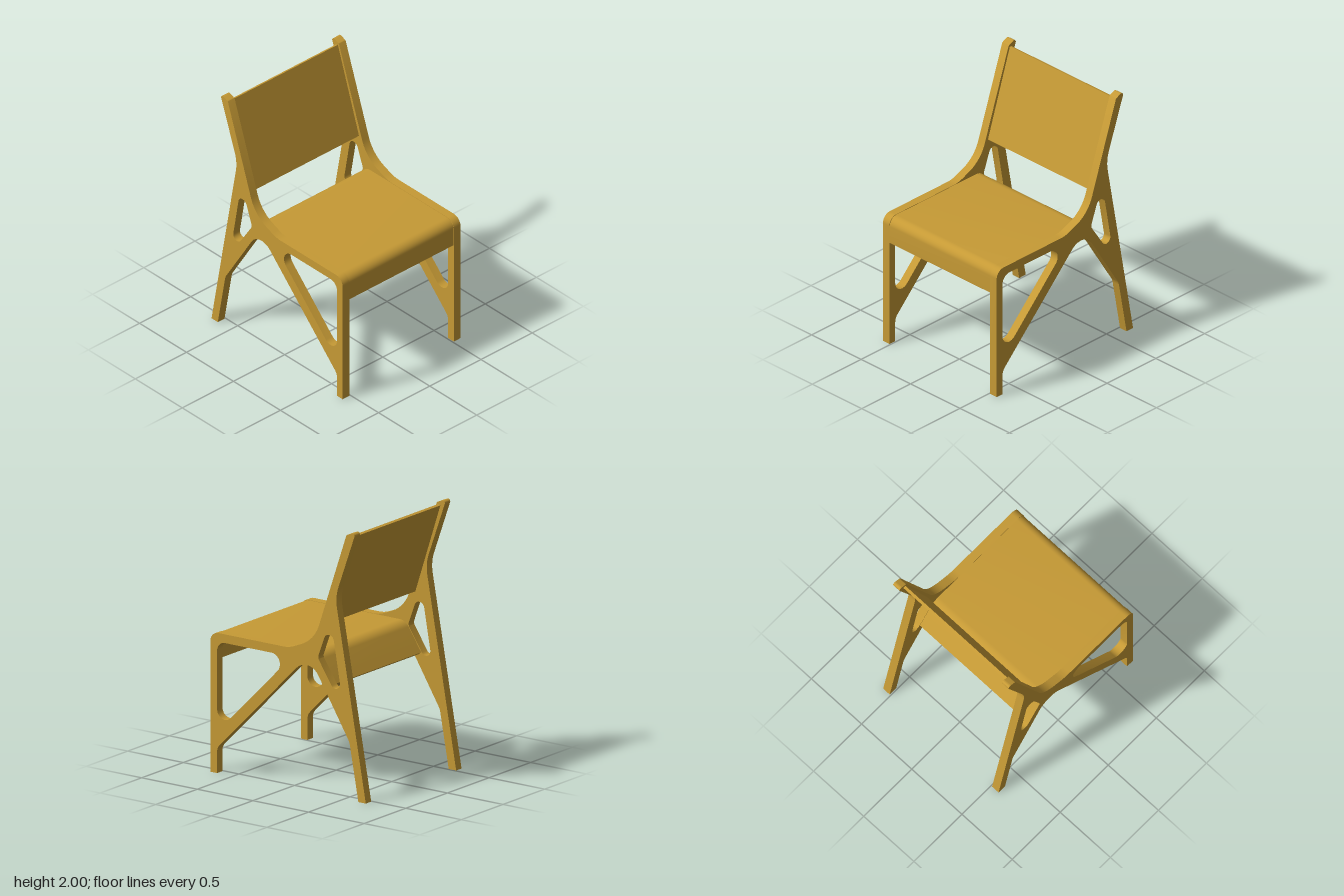
import * as THREE from 'three';
import { toCreasedNormals } from 'three/addons/utils/BufferGeometryUtils.js';

const HALF_WIDTH = 0.575;   // outer face of a side frame
const INNER = 0.51;         // inner face of a side frame

// Polygon of [z, y, radius] corners, each rounded by a true arc
function rounded(corners, steps = 10) {
  const points = [];
  corners.forEach(([x, y, r = 0], i) => {
    const p = new THREE.Vector2(x, y);
    if (!r) { points.push(p); return; }
    const n = corners.length;
    const toward = (c) => new THREE.Vector2(c[0], c[1]).sub(p).normalize();
    const u = toward(corners[(i + n - 1) % n]);
    const v = toward(corners[(i + 1) % n]);
    const half = Math.acos(u.dot(v)) / 2;
    const t = r / Math.tan(half);
    const centre = u.clone().add(v).normalize().multiplyScalar(r / Math.sin(half)).add(p);
    const start = u.clone().multiplyScalar(t).add(p).sub(centre);
    const end = v.clone().multiplyScalar(t).add(p).sub(centre);
    const sweep = Math.atan2(start.cross(end), start.dot(end));
    for (let k = 0; k <= steps; k++) {
      points.push(start.clone().rotateAround(new THREE.Vector2(), sweep * k / steps).add(centre));
    }
  });
  return points;
}

// Extrude a side profile (z, y) across x from x0 to x1
function acrossX(outline, x0, x1, holes = []) {
  const shape = new THREE.Shape(rounded(outline));
  holes.forEach((h) => shape.holes.push(new THREE.Path(rounded(h))));
  const geo = new THREE.ExtrudeGeometry(shape, { depth: x1 - x0, bevelEnabled: false });
  geo.rotateY(-Math.PI / 2).translate(x1, 0, 0);
  return toCreasedNormals(geo, 0.5);
}

export function createModel() {
  const model = new THREE.Group();
  model.name = 'chair';
  const wood = new THREE.MeshStandardMaterial({ color: 0xc69a35 });
  const add = (name, geo) => {
    const mesh = new THREE.Mesh(geo, wood);
    mesh.name = name;
    model.add(mesh);
  };

  // Side frames: legs, arch, brace and back post cut from one board
  const frame = [
    [0.7, 0], [0.7, 1.05, 0.07],
    [-0.005, 1.05, 0.25], [-0.235, 1.143, 0.28],
    [-0.523, 1.98, 0.02], [-0.582, 2.005, 0.018], [-0.597, 1.985, 0.012],
    [-0.423, 1.5, 0.3],
    [-0.697, 0], [-0.63, 0],
    [-0.55, 0.435, 0.12], [-0.186, 1.022, 0.125],
    [0.64, 0.19, 0.08], [0.64, 0],
  ];
  const frontHole = [[0.64, 0.985, 0.07], [0.64, 0.309, 0.07], [-0.03, 0.985, 0.075]];
  const rearHole = [[-0.265, 1.019, 0.04], [-0.5, 0.66, 0.042], [-0.381, 1.333, 0.045]];
  add('leftFrame', acrossX(frame, INNER, HALF_WIDTH, [frontHole, rearHole]));
  add('rightFrame', acrossX(frame, -HALF_WIDTH, -INNER, [frontHole, rearHole]));

  // Seat: bent sheet turned down at the front and at the rear
  const seat = [
    [0.697, 0.84], [0.697, 1.047, 0.07], [-0.241, 1.047, 0.1], [-0.383, 0.83],
    [-0.358, 0.812], [-0.224, 1.017, 0.07], [0.667, 1.017, 0.04], [0.667, 0.84],
  ];
  add('seat', acrossX(seat, -INNER, INNER));

  // Backrest: thin leaning sheet between the posts
  const backrest = [[-0.31, 1.285], [-0.535, 1.967], [-0.555, 1.96], [-0.33, 1.278]];
  add('backrest', acrossX(backrest, -INNER, INNER));

  return model;
}
